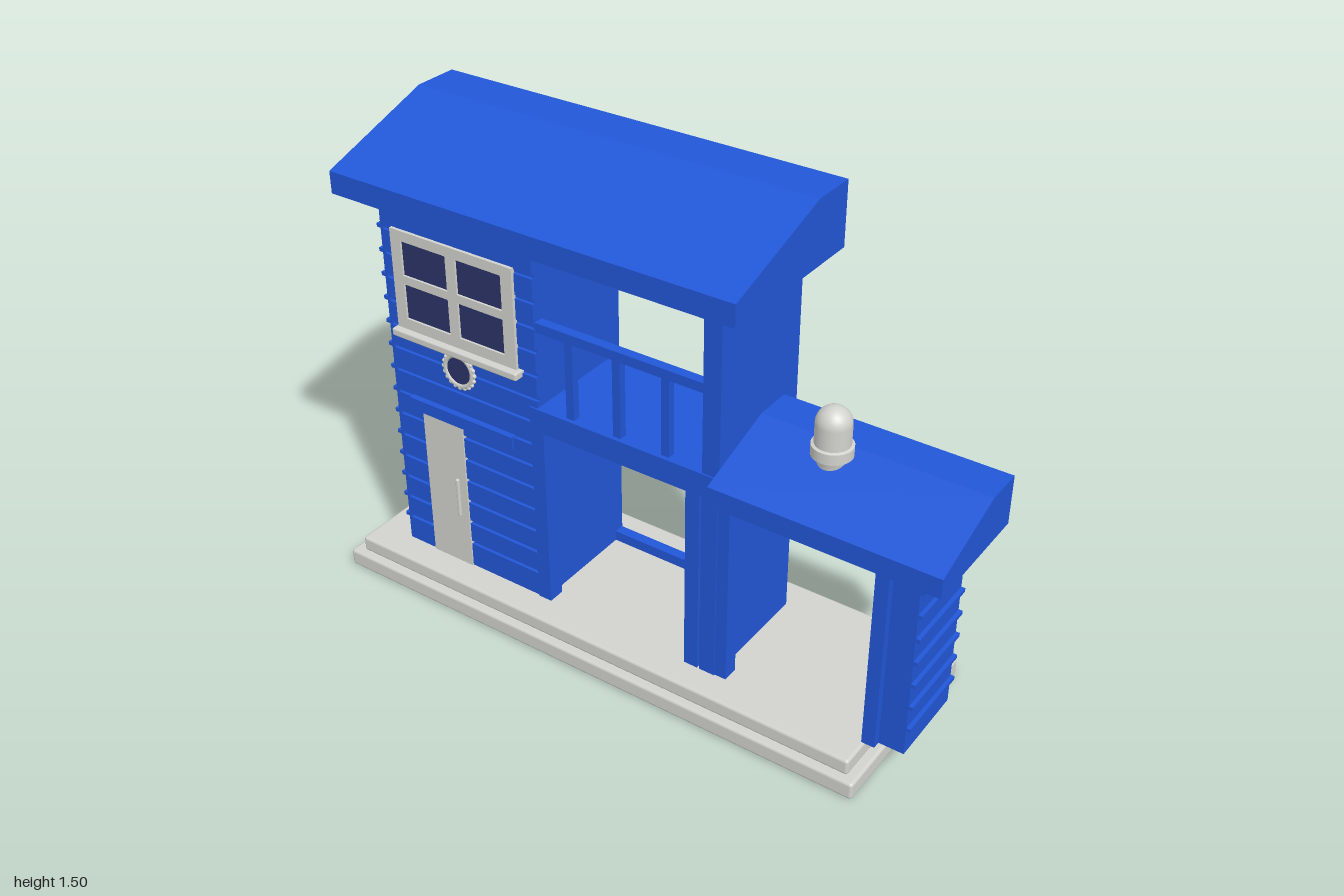
import * as THREE from 'three';
import { RoundedBoxGeometry } from 'three/addons/geometries/RoundedBoxGeometry.js';

export function createModel() {
  const model = new THREE.Group();
  model.name = 'building';

  const material = (name, color) => {
    const m = new THREE.MeshStandardMaterial({ color });
    m.name = name;
    return m;
  };
  const blue = material('blue', 0x2257d8);
  const grey = material('light grey', 0xd2d2ce);
  const glass = material('dark glass', 0x2c3468);

  const add = (name, geometry, mat, parent = model) => {
    const mesh = new THREE.Mesh(geometry, mat);
    mesh.name = name;
    parent.add(mesh);
    return mesh;
  };
  // Box given by its limits on each axis
  const box = (name, mat, x0, x1, y0, y1, z0, z1, parent = model, radius = 0) => {
    const size = [x1 - x0, y1 - y0, z1 - z0];
    const g = radius ? new RoundedBoxGeometry(...size, 2, radius) : new THREE.BoxGeometry(...size);
    g.translate((x0 + x1) / 2, (y0 + y1) / 2, (z0 + z1) / 2);
    return add(name, g, mat, parent);
  };
  const group = (name) => {
    const g = new THREE.Group();
    g.name = name;
    model.add(g);
    return g;
  };
  // Roof: a [z, y] profile swept along x
  const roof = (name, x0, x1, profile) => {
    const shape = new THREE.Shape(profile.map(([z, y]) => new THREE.Vector2(-z, y)));
    const g = new THREE.ExtrudeGeometry(shape, { depth: x1 - x0, bevelEnabled: false });
    g.rotateY(Math.PI / 2).translate(x0, 0, 0);
    add(name, g, blue);
  };

  // Stepped base
  const base = group('base');
  box('lowerBase', grey, -1, 0.83, 0, 0.056, -0.315, 0.315, base, 0.01);
  box('upperBase', grey, -0.965, 0.8, 0.054, 0.106, -0.29, 0.29, base, 0.01);

  const ground = 0.105, eaves = 1.315, step = 0.0775;

  // Main walls, open at the back
  const walls = group('mainWalls');
  box('leftWall', blue, -0.84, -0.805, ground, eaves, -0.19, 0.19, walls);
  box('dividingWall', blue, -0.325, -0.295, ground, eaves, -0.19, 0.19, walls);
  box('rightWall', blue, 0.26, 0.315, ground, eaves, -0.19, 0.2, walls);
  box('frontWall', blue, -0.84, -0.295, ground, eaves, 0.165, 0.19, walls);

  // Planks on the front with narrow grooves between them
  const planks = group('frontPlanks');
  for (let i = 0, y0 = ground; i < 16; i++) {
    const groove = 0.193 + i * step;
    const y1 = i === 15 ? eaves : groove - 0.006;
    box('plank', blue, -0.84, -0.295, y0, y1, 0.19, 0.2, planks);
    y0 = groove + 0.006;
  }

  // Ledges on the outer sides
  const ledges = group('sideLedges');
  for (let i = 0; i < 15; i++) {
    const y = 0.193 + i * step;
    box('leftLedge', blue, -0.854, -0.83, y - 0.006, y + 0.006, -0.19, 0.2, ledges);
    if (i < 7) box('annexLedge', blue, 0.9, 0.919, y - 0.006, y + 0.006, -0.085, 0.175, ledges);
  }

  // Upper floor and sills
  box('upperFloor', blue, -0.81, 0.27, 0.74, 0.785, -0.188, 0.18);
  box('balconyBand', blue, -0.32, 0.315, 0.71, 0.785, 0.165, 0.205);
  box('backSill', blue, -0.81, 0.27, ground, 0.14, -0.188, -0.155);

  // Front posts below the balcony
  const posts = group('frontPosts');
  for (const [x0, x1] of [[-0.32, -0.275], [0.21, 0.255], [0.262, 0.313]])
    box('frontPost', blue, x0, x1, ground, 0.712, 0.15, 0.204, posts);

  // Balcony railing
  const railing = group('railing');
  box('handRail', blue, -0.3, 0.265, 1.03, 1.06, 0.165, 0.195, railing);
  for (const x of [-0.185, -0.025, 0.135])
    box('baluster', blue, x - 0.013, x + 0.013, 0.78, 1.035, 0.168, 0.192, railing);

  // Roofs
  roof('mainRoof', -0.93, 0.405,
    [[0.285, 1.31], [-0.243, 1.31], [-0.243, 1.505], [-0.1, 1.505], [0.285, 1.378]]);
  roof('annexRoof', 0.317, 1,
    [[0.262, 0.738], [-0.118, 0.738], [-0.118, 0.888], [0, 0.888], [0.262, 0.798]]);

  // Annex
  const annex = group('annex');
  box('annexWall', blue, 0.825, 0.907, ground, 0.74, -0.085, 0.176, annex);
  box('annexOuterPost', blue, 0.79, 0.83, ground, 0.705, 0.15, 0.2, annex);
  box('annexInnerPost', blue, 0.31, 0.35, ground, 0.705, 0.15, 0.2, annex);
  box('annexLintel', blue, 0.314, 0.905, 0.7, 0.745, 0.16, 0.2, annex);

  // Paned window: a frame with four openings over a glass plate
  const windowGroup = group('window');
  const rect = (S, x0, x1, y0, y1) =>
    new S([[x0, y0], [x1, y0], [x1, y1], [x0, y1]].map((p) => new THREE.Vector2(...p)));
  const frame = rect(THREE.Shape, -0.797, -0.357, 0.89, 1.212);
  for (const [x0, x1] of [[-0.76, -0.595], [-0.56, -0.397]])
    for (const [y0, y1] of [[0.93, 1.043], [1.07, 1.18]])
      frame.holes.push(rect(THREE.Path, x0, x1, y0, y1));
  const frameGeometry = new THREE.ExtrudeGeometry(frame, { depth: 0.014, bevelEnabled: false });
  add('windowFrame', frameGeometry.translate(0, 0, 0.196), grey, windowGroup);
  box('windowGlass', glass, -0.785, -0.37, 0.905, 1.2, 0.196, 0.203, windowGroup);
  box('windowSill', grey, -0.805, -0.343, 0.87, 0.895, 0.19, 0.231, windowGroup, 0.006);

  // Round window with a beaded rim
  const porthole = group('roundWindow');
  porthole.position.set(-0.58, 0.812, 0.2);
  add('rim', new THREE.TorusGeometry(0.05, 0.009, 8, 40), grey, porthole);
  const disc = add('roundGlass', new THREE.CylinderGeometry(0.05, 0.05, 0.008, 32), glass, porthole);
  disc.rotation.x = Math.PI / 2;
  for (let i = 0; i < 20; i++) {
    const a = (i / 20) * Math.PI * 2;
    const bead = add('bead', new THREE.SphereGeometry(0.007, 8, 6), grey, porthole);
    bead.position.set(Math.cos(a) * 0.057, Math.sin(a) * 0.057, 0.002);
  }

  // Door with handle and lintel
  const door = group('door');
  box('doorPanel', grey, -0.735, -0.583, ground, 0.618, 0.19, 0.205, door);
  box('doorHandle', grey, -0.622, -0.61, 0.285, 0.42, 0.2, 0.213, door, 0.004);
  box('doorLintel', blue, -0.78, -0.39, 0.615, 0.655, 0.19, 0.209, door);

  // Beacon: neck, foot and dome
  const profile = [[0.04, 0.83], [0.04, 0.885], [0.058, 0.885], [0.058, 0.885], [0.058, 0.917],
    [0.058, 0.917], [0.05, 0.92], [0.05, 0.92], [0.05, 0.98]];
  for (let i = 1; i <= 8; i++) {
    const a = (i / 8) * Math.PI / 2;
    profile.push([Math.max(0, Math.cos(a) * 0.05), 0.98 + Math.sin(a) * 0.05]);
  }
  const beacon = new THREE.LatheGeometry(profile.map((p) => new THREE.Vector2(...p)), 32);
  add('beacon', beacon.translate(0.567, 0, 0.055), grey);

  return model;
}
